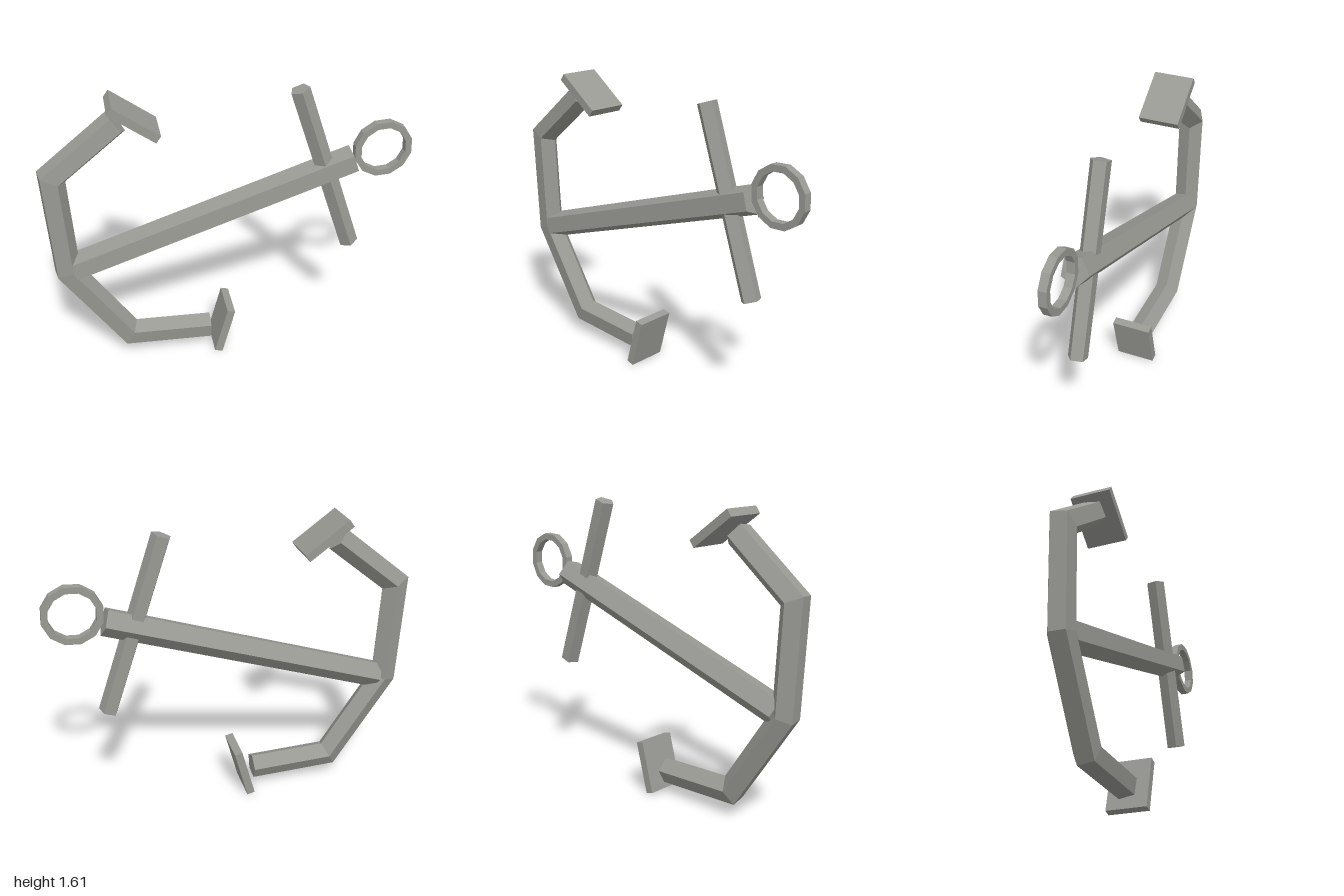
import * as THREE from 'three';

const iron = new THREE.MeshStandardMaterial({ color: 0x999994 });
iron.name = 'weathered iron grey';

// Five-sided bar with mitred corners, swept along a path in the xy plane.
function bar(path, radius, startDegrees, sides = 5) {
  const pts = path.map(([x, y]) => new THREE.Vector2(x, y));
  const leftOf = (a, b) => {
    const d = b.clone().sub(a).normalize();
    return new THREE.Vector2(-d.y, d.x);
  };
  const rings = pts.map((p, i) => {
    const before = leftOf(pts[Math.max(i - 1, 0)], pts[Math.max(i, 1)]);
    const last = pts.length - 1;
    const after = leftOf(pts[Math.min(i, last - 1)], pts[Math.min(i + 1, last)]);
    const miter = before.clone().add(after).normalize();
    miter.divideScalar(miter.dot(after));
    return Array.from({ length: sides }, (_, k) => {
      const t = THREE.MathUtils.degToRad(startDegrees) + (k / sides) * Math.PI * 2;
      const h = radius * Math.sin(t);
      return [p.x + miter.x * h, p.y + miter.y * h, radius * Math.cos(t)];
    });
  });

  const pos = [];
  const tri = (a, b, c) => pos.push(...a, ...b, ...c);
  for (let i = 0; i < rings.length - 1; i++) {
    for (let k = 0; k < sides; k++) {
      const n = (k + 1) % sides;
      tri(rings[i][k], rings[i + 1][k], rings[i + 1][n]);
      tri(rings[i][k], rings[i + 1][n], rings[i][n]);
    }
  }
  // End caps
  const first = rings[0], end = rings[rings.length - 1];
  for (let k = 1; k < sides - 1; k++) {
    tri(first[0], first[k], first[k + 1]);
    tri(end[0], end[k + 1], end[k]);
  }
  const geo = new THREE.BufferGeometry();
  geo.setAttribute('position', new THREE.Float32BufferAttribute(pos, 3));
  geo.computeVertexNormals();
  return geo;
}

// Regular polygon outline, used for the ring and its hole.
function polygon(radius, sides, turn, Type) {
  const points = Array.from({ length: sides }, (_, i) => {
    const t = turn + (i / sides) * Math.PI * 2;
    return new THREE.Vector2(radius * Math.cos(t), radius * Math.sin(t));
  });
  return new Type(points);
}

export function createModel() {
  const anchor = new THREE.Group();
  anchor.name = 'anchor';
  const add = (name, geo, x = 0, y = 0, turn = 0) => {
    const mesh = new THREE.Mesh(geo, iron);
    mesh.name = name;
    mesh.position.set(x, y, 0);
    mesh.rotation.z = turn;
    anchor.add(mesh);
  };

  // Main bars
  add('shank', bar([[-0.865, 0.643], [0.68, 1.157]], 0.08, 40));
  add('stock', bar([[0.363, 1.592], [0.69, 0.622]], 0.054, 0));
  add('arms', bar([
    [-0.122, 0.133], [-0.585, 0.15], [-0.903, 0.63], [-0.932, 1.21], [-0.58, 1.495],
  ], 0.073, 44));

  // Flat flukes just off the arm tips
  const fluke = new THREE.BoxGeometry(0.29, 0.045, 0.224);
  add('upperFluke', fluke, -0.497, 1.518, Math.atan2(-0.175, 0.24));
  add('lowerFluke', fluke, -0.05, 0.154, Math.atan2(0.28, 0.075));

  // Twelve-sided ring at the head of the shank
  const turn = THREE.MathUtils.degToRad(18);
  const outline = polygon(0.163, 12, turn, THREE.Shape);
  outline.holes.push(polygon(0.127, 12, turn, THREE.Path));
  const ring = new THREE.ExtrudeGeometry(outline, { depth: 0.044, bevelEnabled: false });
  ring.translate(0, 0, -0.022);
  add('ring', ring, 0.839, 1.209);

  return anchor;
}
